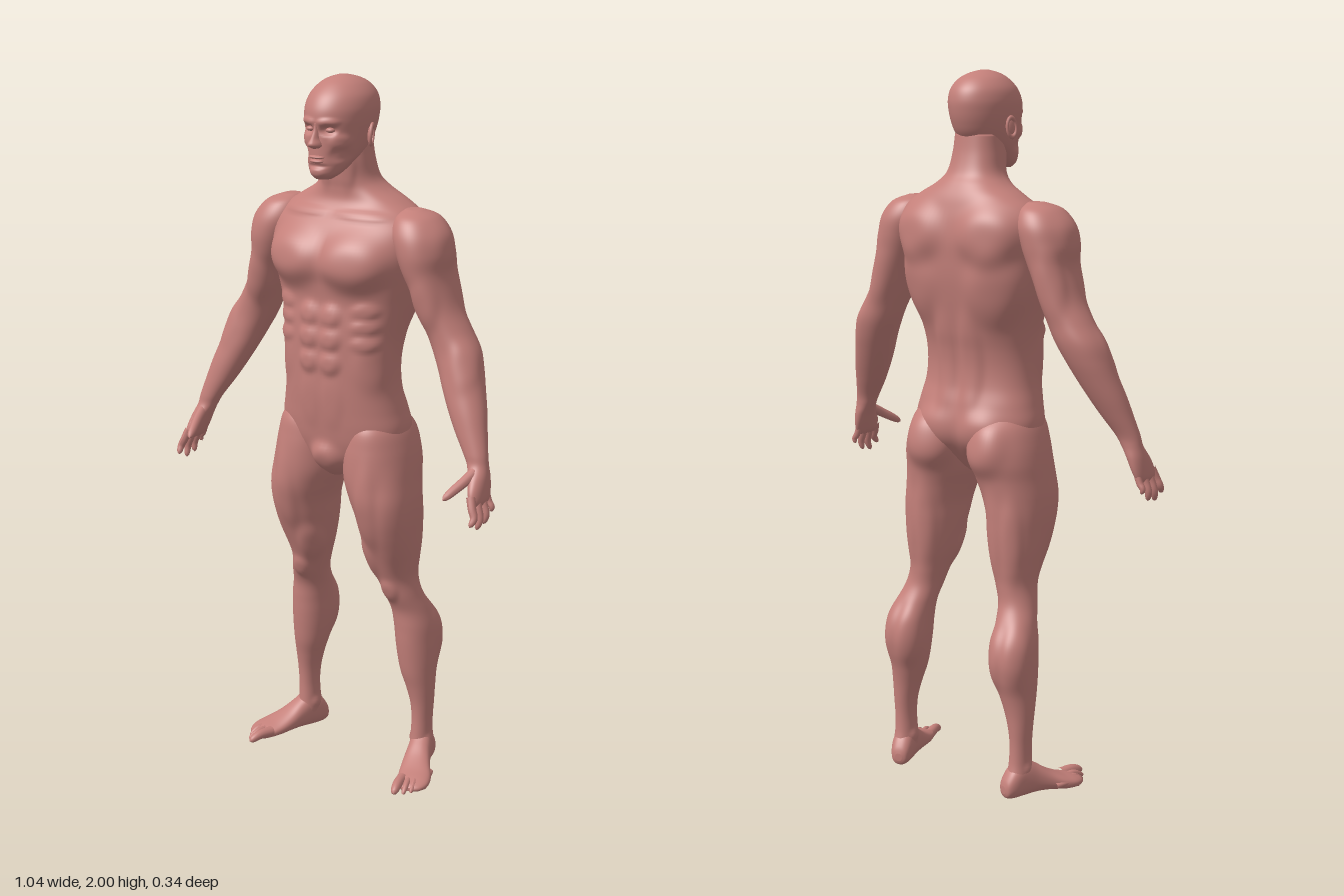
import * as THREE from 'three';

const skin = new THREE.MeshStandardMaterial({ color: 0xc4807a });
skin.name = 'skin';

const part = (name, geometry, parent) => {
  const mesh = new THREE.Mesh(geometry, skin);
  mesh.name = name;
  parent.add(mesh);
  return mesh;
};

const spline = (a, b, c, d, t) =>
  b + 0.5 * t * (c - a + t * (2 * a - 5 * b + 4 * c - d + t * (3 * (b - c) + d - a)));

// Smooth body through level sections [y, centreX, halfWidth, zFront, zBack].
// Muscles [x, y, z, sizeX, sizeY, sizeZ, height] swell the surface along its normal.
function loft(sections, { muscles = [], sides = 64, steps = 6, power = 2 } = {}) {
  const s = [...sections].sort((a, b) => a[0] - b[0]);
  const at = (i) => s[Math.min(Math.max(i, 0), s.length - 1)];
  const rows = (s.length - 1) * steps + 1;
  const pos = [], index = [];
  for (let r = 0; r < rows; r++) {
    const i = Math.min(Math.floor(r / steps), s.length - 2), t = r / steps - i;
    const [y, cx, rx, zf, zb] = at(i).map((v, k) => spline(at(i - 1)[k], v, at(i + 1)[k], at(i + 2)[k], t));
    const cz = (zf + zb) / 2, rz = (zf - zb) / 2;
    for (let j = 0; j < sides; j++) {
      const a = (j / sides) * Math.PI * 2, c = Math.cos(a), n = Math.sin(a);
      const bend = (v, e) => Math.sign(v) * Math.abs(v) ** e;
      const x = cx + rx * bend(c, 2 / power), z = cz + rz * bend(n, 2 / power);
      let nx = bend(c, 2 - 2 / power) / rx, nz = bend(n, 2 - 2 / power) / rz;
      const len = Math.hypot(nx, nz) || 1;
      let h = 0;
      for (const [mx, my, mz, sx, sy, sz, height] of muscles) {
        const d = ((Math.abs(x) - mx) / sx) ** 2 + ((y - my) / sy) ** 2 + ((z - mz) / sz) ** 2;
        h += height * Math.exp(-d * d);
      }
      pos.push(x + (h * nx) / len, y, z + (h * nz) / len);
    }
  }
  for (let r = 0; r < rows - 1; r++) for (let j = 0; j < sides; j++) {
    const a = r * sides + j, b = r * sides + ((j + 1) % sides);
    index.push(a, a + sides, b, b, a + sides, b + sides);
  }
  // Close both ends
  [0, rows - 1].forEach((r, top) => {
    const [y, cx, , zf, zb] = top ? s[s.length - 1] : s[0];
    const pole = pos.length / 3;
    pos.push(cx, y, (zf + zb) / 2);
    for (let j = 0; j < sides; j++) {
      const a = r * sides + j, b = r * sides + ((j + 1) % sides);
      index.push(...(top ? [a, pole, b] : [a, b, pole]));
    }
  });
  const g = new THREE.BufferGeometry();
  g.setAttribute('position', new THREE.Float32BufferAttribute(pos, 3));
  g.setIndex(index);
  g.computeVertexNormals();
  return g;
}

// Finger or toe: a tube that narrows to a round tip
function digit(points, radius) {
  const path = new THREE.CatmullRomCurve3(points.map((p) => new THREE.Vector3(...p)));
  const rows = 18, sides = 12;
  const g = new THREE.TubeGeometry(path, rows, radius, sides);
  const p = g.attributes.position, v = new THREE.Vector3();
  for (let i = 0; i < p.count; i++) {
    const t = Math.floor(i / (sides + 1)) / rows, c = path.getPointAt(t);
    v.fromBufferAttribute(p, i).sub(c).multiplyScalar(Math.sqrt(1 - t ** 8) * (1 - 0.25 * t)).add(c);
    p.setXYZ(i, v.x, v.y, v.z);
  }
  g.computeVertexNormals();
  return g;
}

const ball = (x, y, z, rx, ry, rz) => new THREE.SphereGeometry(1, 20, 14).scale(rx, ry, rz).translate(x, y, z);

const glute = [0.085, 1.0, -0.14, 0.075, 0.085, 0.08, 0.02];

function torso() {
  return loft([
    [0.9, 0, 0.03, 0.06, -0.04], [0.95, 0, 0.12, 0.09, -0.085], [1.0, 0, 0.185, 0.105, -0.115],
    [1.05, 0, 0.196, 0.113, -0.125], [1.1, 0, 0.186, 0.118, -0.118], [1.15, 0, 0.175, 0.122, -0.104],
    [1.2, 0, 0.17, 0.124, -0.1], [1.25, 0, 0.17, 0.125, -0.105], [1.3, 0, 0.176, 0.125, -0.117],
    [1.35, 0, 0.187, 0.122, -0.128], [1.4, 0, 0.2, 0.117, -0.138], [1.45, 0, 0.212, 0.122, -0.146],
    [1.5, 0, 0.222, 0.128, -0.15], [1.55, 0, 0.232, 0.118, -0.152], [1.6, 0, 0.232, 0.094, -0.147],
    [1.64, 0, 0.205, 0.065, -0.138], [1.67, 0, 0.16, 0.048, -0.128], [1.7, 0, 0.107, 0.046, -0.112],
    [1.73, 0, 0.08, 0.05, -0.092], [1.78, 0, 0.07, 0.055, -0.077], [1.83, 0, 0.064, 0.05, -0.07],
  ], {
    sides: 128, power: 2.35, muscles: [
      glute,
      [0.1, 1.52, 0.12, 0.092, 0.075, 0.1, 0.026],                        // chest
      ...[1.37, 1.305, 1.238].map((y) => [0.035, y, 0.125, 0.03, 0.03, 0.04, 0.011]), // abdomen
      [0.035, 1.13, 0.12, 0.034, 0.075, 0.04, 0.004],
      [0.14, 1.24, 0.07, 0.05, 0.07, 0.06, 0.006],                        // obliques
      ...[1.3, 1.345, 1.39].map((y) => [0.13, y, 0.09, 0.035, 0.02, 0.05, 0.007]),
      [0.1, 1.637, 0.06, 0.09, 0.013, 0.04, 0.007],                       // collarbone
      [0.12, 1.57, -0.14, 0.085, 0.075, 0.08, 0.022],                     // shoulder blade
      [0.13, 1.42, -0.12, 0.08, 0.1, 0.08, 0.016],                        // broad back
      [0.04, 1.22, -0.11, 0.034, 0.14, 0.06, 0.01],                       // lower back
      [0.035, 1.76, 0.04, 0.02, 0.06, 0.03, 0.005],                       // neck
      [0, 0.95, 0.09, 0.045, 0.05, 0.06, 0.022],                          // groin
    ],
  });
}

function head(parent) {
  const g = new THREE.Group();
  g.name = 'head';
  parent.add(g);
  part('skull', loft([
    [1.735, 0, 0.022, 0.122, 0.075], [1.75, 0, 0.042, 0.131, 0.045], [1.775, 0, 0.057, 0.134, 0],
    [1.8, 0, 0.068, 0.134, -0.045], [1.83, 0, 0.077, 0.134, -0.075], [1.86, 0, 0.084, 0.133, -0.09],
    [1.89, 0, 0.089, 0.135, -0.098], [1.92, 0, 0.09, 0.13, -0.1], [1.95, 0, 0.082, 0.113, -0.091],
    [1.975, 0, 0.062, 0.086, -0.068], [1.99, 0, 0.038, 0.058, -0.036], [1.9985, 0, 0.01, 0.024, 0.002],
  ], {
    sides: 112, steps: 8, muscles: [
      [0.033, 1.865, 0.125, 0.02, 0.013, 0.03, -0.012],  // eye socket
      [0.032, 1.886, 0.125, 0.028, 0.01, 0.03, 0.005],   // brow
      [0.055, 1.835, 0.1, 0.022, 0.018, 0.04, 0.005],    // cheekbone
      [0.05, 1.8, 0.09, 0.022, 0.018, 0.04, -0.004],     // cheek
      [0, 1.752, 0.13, 0.024, 0.014, 0.03, 0.005],       // chin
      [0, 1.771, 0.13, 0.03, 0.006, 0.03, -0.004],
    ],
  }), g);
  part('nose', loft([
    [1.883, 0, 0.006, 0.136, 0.1], [1.865, 0, 0.008, 0.14, 0.1], [1.845, 0, 0.011, 0.151, 0.1],
    [1.832, 0, 0.017, 0.16, 0.1], [1.824, 0, 0.018, 0.157, 0.1], [1.818, 0, 0.01, 0.145, 0.1],
  ], { sides: 24 }), g);
  part('upperLip', ball(0, 1.795, 0.129, 0.025, 0.005, 0.014), g);
  part('lowerLip', ball(0, 1.784, 0.128, 0.022, 0.006, 0.014), g);
  for (const s of [1, -1]) {
    part('eye', ball(s * 0.032, 1.865, 0.112, 0.013, 0.007, 0.011), g);
    const ear = new THREE.Group();
    ear.name = 'ear';
    ear.position.set(s * 0.092, 1.848, 0.012);
    ear.rotation.set(-0.15, s * 0.35, 0);
    part('earRim', new THREE.TorusGeometry(0.019, 0.005, 8, 24).scale(0.75, 1.35, 1).rotateY(Math.PI / 2), ear);
    part('earBowl', ball(-s * 0.004, 0, 0, 0.006, 0.024, 0.014), ear);
    g.add(ear);
  }
}

function leg() {
  return loft([
    [1.09, 0.115, 0.05, 0.07, -0.08], [1.05, 0.115, 0.078, 0.098, -0.115], [1.0, 0.115, 0.094, 0.108, -0.133],
    [0.95, 0.118, 0.1, 0.113, -0.138], [0.9, 0.123, 0.1, 0.114, -0.128], [0.85, 0.134, 0.094, 0.111, -0.12],
    [0.8, 0.142, 0.086, 0.1, -0.117], [0.75, 0.144, 0.08, 0.085, -0.115], [0.7, 0.146, 0.073, 0.065, -0.112],
    [0.65, 0.148, 0.064, 0.045, -0.108], [0.6, 0.153, 0.054, 0.025, -0.104], [0.55, 0.165, 0.052, 0.008, -0.108],
    [0.5, 0.177, 0.055, -0.013, -0.133], [0.45, 0.185, 0.059, -0.018, -0.157], [0.4, 0.188, 0.059, -0.021, -0.166],
    [0.35, 0.191, 0.056, -0.026, -0.161], [0.3, 0.195, 0.049, -0.033, -0.146], [0.25, 0.202, 0.04, -0.045, -0.136],
    [0.2, 0.207, 0.032, -0.054, -0.131], [0.15, 0.208, 0.028, -0.057, -0.128], [0.1, 0.207, 0.029, -0.055, -0.13],
    [0.06, 0.207, 0.031, -0.052, -0.138], [0.03, 0.207, 0.024, -0.06, -0.135],
  ], {
    sides: 72, power: 2.1, muscles: [
      glute,
      [0.195, 0.78, 0.05, 0.035, 0.14, 0.06, 0.008],   // outer thigh
      [0.14, 0.82, 0.1, 0.03, 0.13, 0.05, 0.007],      // front thigh
      [0.105, 0.66, 0.03, 0.032, 0.065, 0.05, 0.01],   // inner knee muscle
      [0.12, 0.75, -0.11, 0.03, 0.12, 0.04, 0.006],    // hamstrings
      [0.18, 0.73, -0.11, 0.028, 0.12, 0.04, 0.006],
      [0.158, 0.565, 0.015, 0.026, 0.034, 0.03, 0.008], // kneecap
      [0.15, 0.41, -0.15, 0.034, 0.09, 0.05, 0.009],   // calves
      [0.222, 0.43, -0.14, 0.034, 0.085, 0.05, 0.008],
      [0.205, 0.085, -0.09, 0.05, 0.018, 0.02, 0.006], // ankle bones
    ],
  });
}

function foot(parent) {
  const g = new THREE.Group();
  g.name = 'foot';
  g.position.set(0.207, 0, -0.1);
  g.rotation.y = 0.31;
  parent.add(g);
  // Sections run from heel to toes, then tip forward to lie on the ground
  part('footBody', loft([
    [-0.054, 0, 0.01, -0.018, -0.04], [-0.047, 0, 0.023, -0.005, -0.06], [-0.025, 0, 0.031, 0, -0.09],
    [0.01, 0, 0.033, 0, -0.112], [0.05, 0.002, 0.036, -0.003, -0.09], [0.09, 0.007, 0.042, -0.003, -0.064],
    [0.13, 0.015, 0.048, 0, -0.045], [0.165, 0.018, 0.046, 0, -0.034], [0.19, 0.014, 0.036, -0.003, -0.025],
    [0.2, 0.01, 0.022, -0.008, -0.018],
  ], { sides: 40, power: 2.3 }).rotateX(Math.PI / 2), g);
  for (let i = 0; i < 5; i++) {
    const x = [-0.016, 0.008, 0.026, 0.042, 0.056][i], tip = 0.238 - i * 0.012 - i * i * 0.001;
    const r = i ? 0.0105 - i * 0.0005 : 0.016;
    part('toe', digit([[x * 0.9, 0.022, tip - 0.08], [x, 0.024, tip - 0.035], [x, r * 0.8, tip]], r), g);
  }
}

function arm(parent) {
  part('arm', loft([
    [1.658, 0.205, 0.022, -0.005, -0.05], [1.64, 0.218, 0.054, 0.04, -0.09], [1.6, 0.23, 0.074, 0.066, -0.112],
    [1.55, 0.245, 0.07, 0.073, -0.114], [1.5, 0.256, 0.06, 0.066, -0.108], [1.45, 0.273, 0.056, 0.053, -0.102],
    [1.4, 0.292, 0.056, 0.044, -0.097], [1.35, 0.318, 0.061, 0.036, -0.094], [1.3, 0.345, 0.066, 0.035, -0.09],
    [1.25, 0.367, 0.062, 0.042, -0.076], [1.2, 0.388, 0.058, 0.053, -0.056], [1.15, 0.41, 0.053, 0.062, -0.034],
    [1.1, 0.432, 0.045, 0.068, -0.01], [1.05, 0.456, 0.035, 0.073, 0.014], [1.02, 0.468, 0.029, 0.077, 0.02],
    [0.99, 0.479, 0.025, 0.098, 0.02], [0.96, 0.487, 0.021, 0.115, 0.024], [0.935, 0.493, 0.016, 0.12, 0.032],
    [0.922, 0.495, 0.009, 0.112, 0.042],
  ], {
    sides: 64, power: 2.1, muscles: [
      [0.3, 1.57, -0.02, 0.05, 0.06, 0.05, 0.006],      // shoulder cap
      [0.28, 1.41, 0.045, 0.04, 0.07, 0.04, 0.008],     // biceps
      [0.3, 1.45, -0.1, 0.05, 0.09, 0.04, 0.008],       // triceps
      [0.4, 1.27, 0.02, 0.04, 0.07, 0.05, 0.006],       // forearm
    ],
  }), parent);
  const fingers = [[0.112, 0.142, 0.878], [0.088, 0.108, 0.861], [0.064, 0.073, 0.868], [0.041, 0.038, 0.893]];
  fingers.forEach(([z, tipZ, tipY], i) => part('finger', digit([
    [0.489, 0.95, z], [0.5, 0.92, (z * 2 + tipZ) / 3], [0.509, (0.92 + tipY) / 2, (z + tipZ) / 2], [0.505, tipY, tipZ],
  ], i < 3 ? 0.0125 : 0.0105), parent));
  part('thumb', digit([[0.474, 1.01, 0.06], [0.462, 0.985, 0.105], [0.449, 0.965, 0.14], [0.438, 0.947, 0.17]], 0.0155), parent);
}

export function createModel() {
  const body = new THREE.Group();
  body.name = 'standingMan';
  part('torso', torso(), body);
  head(body);
  // Limbs are made for the left and mirrored for the right
  const left = new THREE.Group();
  left.name = 'leftLimbs';
  part('leg', leg(), left);
  foot(left);
  arm(left);
  const right = left.clone();
  right.name = 'rightLimbs';
  right.scale.x = -1;
  body.add(left, right);
  return body;
}
